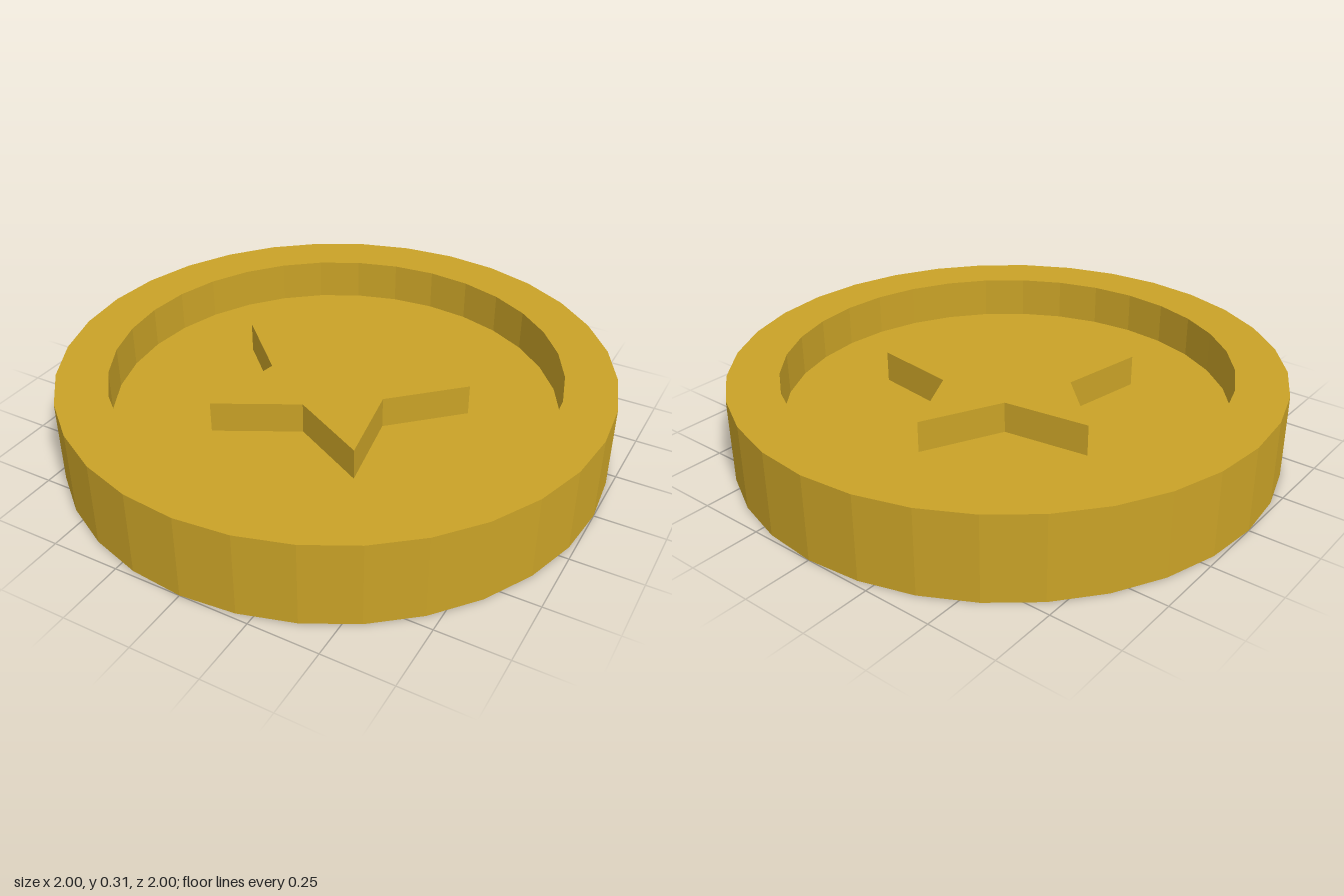
import * as THREE from 'three';

const HEIGHT = 0.31, FLOOR = 0.155, STAR_TOP = 0.27;

// Five-pointed star outline, one tip pointing to +y
function starShape(outer, inner) {
  const points = [];
  for (let i = 0; i < 10; i++) {
    const r = i % 2 ? inner : outer;
    const a = Math.PI / 2 + (i * Math.PI) / 5;
    points.push(new THREE.Vector2(r * Math.cos(a), r * Math.sin(a)));
  }
  return new THREE.Shape(points);
}

export function createModel() {
  const group = new THREE.Group();
  group.name = 'coin';
  const gold = new THREE.MeshStandardMaterial({ color: 0xc9a227, flatShading: true });

  // Disc with a raised rim around a sunken face
  const profile = [
    [0, 0], [1, 0], [1, HEIGHT], [0.815, HEIGHT], [0.815, FLOOR], [0, FLOOR],
  ].map(([r, y]) => new THREE.Vector2(r, y));
  const disc = new THREE.Mesh(new THREE.LatheGeometry(profile, 32), gold);
  disc.name = 'rimmedDisc';
  group.add(disc);

  // Raised star standing on the sunken face, its tip towards the back
  const starGeometry = new THREE.ExtrudeGeometry(starShape(0.485, 0.24), {
    depth: STAR_TOP - FLOOR,
    bevelEnabled: false,
  });
  starGeometry.rotateX(-Math.PI / 2);
  const star = new THREE.Mesh(starGeometry, gold);
  star.name = 'star';
  star.position.y = FLOOR;
  group.add(star);

  return group;
}
